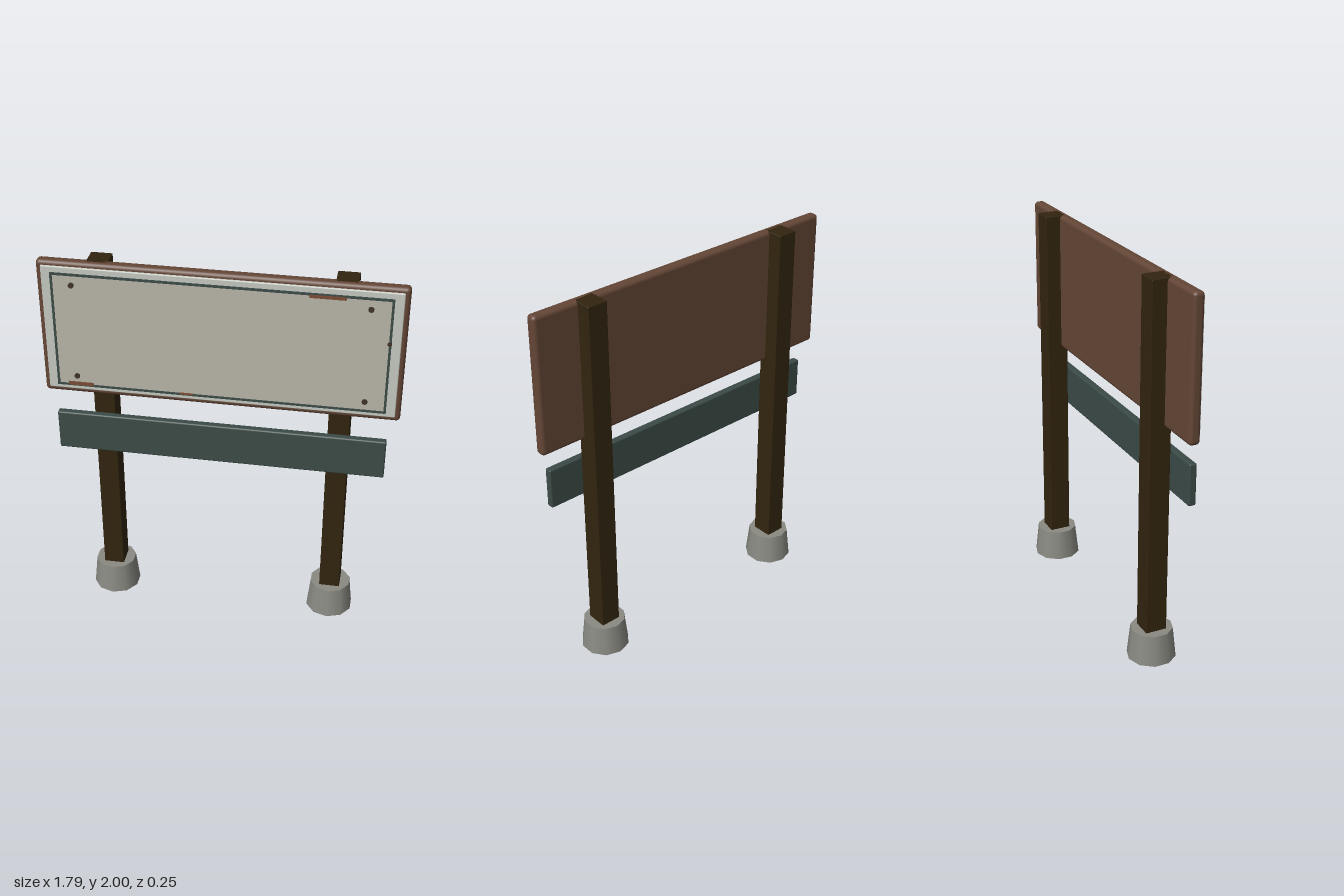
import * as THREE from 'three';
import { RoundedBoxGeometry } from 'three/addons/geometries/RoundedBoxGeometry.js';

const mat = (name, color) => {
  const m = new THREE.MeshStandardMaterial({ color });
  m.name = name;
  return m;
};

export function createModel() {
  const model = new THREE.Group();
  model.name = 'signboard';

  const darkWood = mat('dark wood', 0x32250f);
  const brownWood = mat('brown wood', 0x644636);
  const concrete = mat('concrete', 0x8a8b83);
  const rimPaint = mat('pale rim paint', 0xc6c9c1);
  const panelPaint = mat('cream panel paint', 0xb9b6a8);
  const teal = mat('dark teal paint', 0x3c4b47);
  const rust = mat('rust', 0x7a4c34);
  const boltMetal = mat('bolt metal', 0x40342a);

  const add = (name, geometry, material, x, y, z) => {
    const mesh = new THREE.Mesh(geometry, material);
    mesh.name = name;
    mesh.position.set(x, y, z);
    model.add(mesh);
    return mesh;
  };
  // Box given by its x, y and z ranges, with optional rounded edges
  const box = (name, material, [x0, x1], [y0, y1], [z0, z1], radius = 0, segments = 2) => {
    const size = [x1 - x0, y1 - y0, z1 - z0];
    const geometry = radius
      ? new RoundedBoxGeometry(...size, segments, radius)
      : new THREE.BoxGeometry(...size);
    return add(name, geometry, material, (x0 + x1) / 2, (y0 + y1) / 2, (z0 + z1) / 2);
  };

  // Posts standing in ten-sided concrete feet
  for (const side of [-1, 1]) {
    const x = side * 0.598;
    box('post', darkWood, [x - 0.054, x + 0.054], [0, 2], [-0.057, 0.056], 0.005, 1);
    add('foot', new THREE.CylinderGeometry(0.108, 0.126, 0.163, 10), concrete, x, 0.0835, 0);
  }

  // Main board with its raised panel
  box('backBoard', brownWood, [-0.895, 0.895], [1.272, 2], [0.02, 0.078], 0.02, 3);
  box('panelRim', rimPaint, [-0.87, 0.87], [1.3, 1.977], [0.06, 0.088], 0.005, 1);
  box('panelFace', panelPaint, [-0.818, 0.818], [1.326, 1.941], [0.086, 0.0905]);

  // Thin painted border
  const w = 0.012, z = [0.086, 0.0935];
  for (const y of [1.322, 1.947 - w]) box('borderLine', teal, [-0.824, 0.824], [y, y + w], z);
  for (const x of [-0.824, 0.824 - w]) box('borderLine', teal, [x, x + w], [1.322 + w, 1.947 - w], z);

  // Rust patches along the border
  const patches = [
    [0.427, 0.601, 1.923, 1.94],
    [-0.766, -0.639, 1.326, 1.345],
    [-0.2, -0.13, 1.326, 1.336],
  ];
  for (const [x0, x1, y0, y1] of patches) box('rustPatch', rust, [x0, x1], [y0, y1], [0.0875, 0.095]);

  // Corner bolts and a small stud on the border
  const bolt = (name, r, x, y, z0, z1) => {
    const mesh = add(name, new THREE.CylinderGeometry(r, r, z1 - z0, 10), boltMetal, x, y, (z0 + z1) / 2);
    mesh.rotation.x = Math.PI / 2;
  };
  for (const x of [-0.718, 0.718]) {
    for (const y of [1.385, 1.89]) {
      bolt('boltShank', 0.009, x, y, 0.086, 0.099);
      bolt('boltHead', 0.014, x, y, 0.097, 0.106);
    }
  }
  bolt('stud', 0.011, 0.815, 1.71, 0.086, 0.096);

  // Lower plank across the posts
  box('lowerPlank', teal, [-0.84, 0.84], [0.938, 1.154], [0.055, 0.094], 0.008, 2);

  return model;
}
